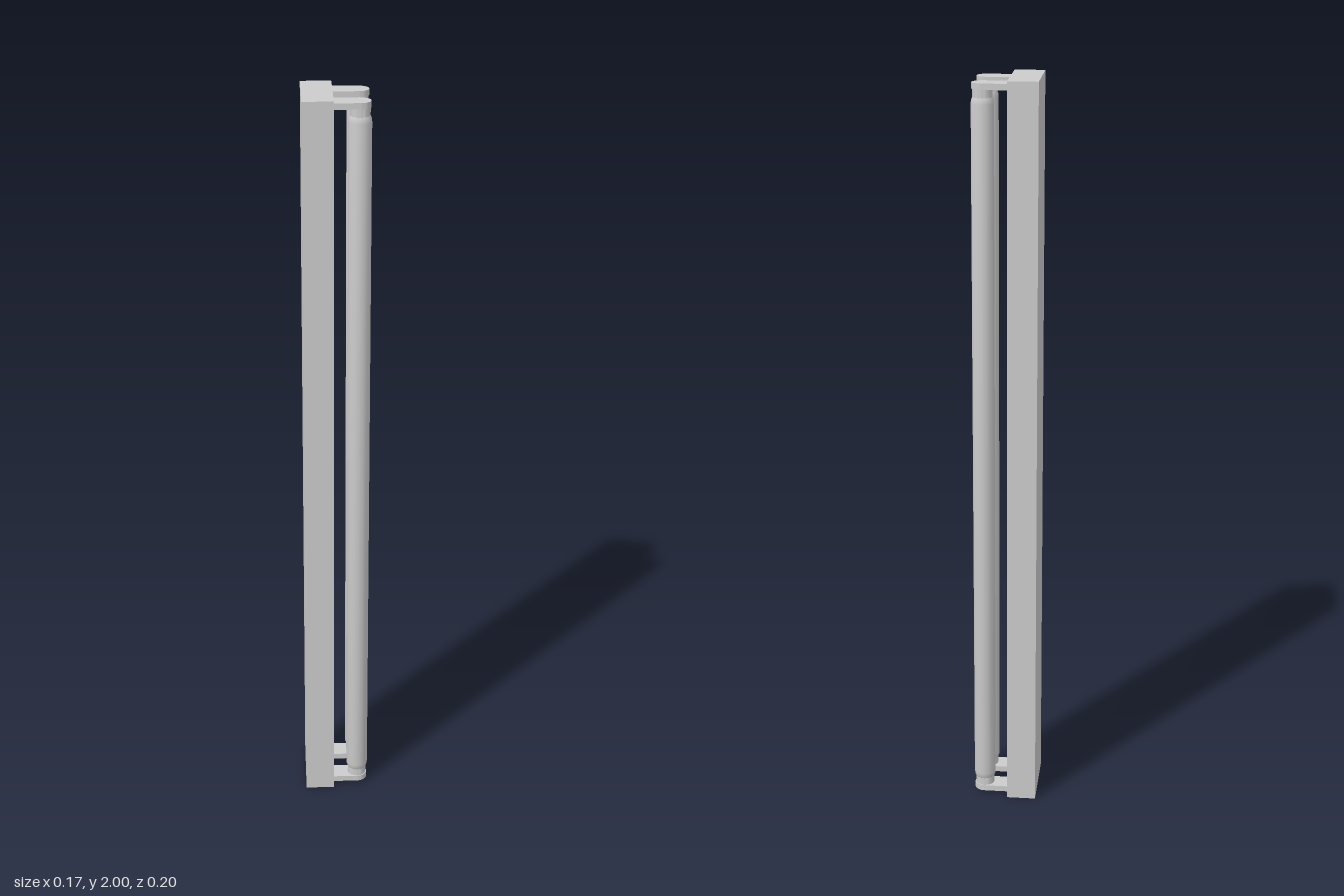
import * as THREE from 'three';
import { toCreasedNormals } from 'three/addons/utils/BufferGeometryUtils.js';

const grey = new THREE.MeshStandardMaterial({ color: 0xcccccc });
const TUBE_X = 0.057, TUBE_Z = 0.056, BODY_RIGHT = -0.009;

function part(name, geometry, parent) {
  const mesh = new THREE.Mesh(geometry, grey);
  mesh.name = name;
  parent.add(mesh);
  return mesh;
}

// Flat arm with a rounded end, reaching from the housing out over the tube
function armGeometry(radius, thickness) {
  const shape = new THREE.Shape();
  shape.moveTo(BODY_RIGHT - 0.005, -radius);
  shape.lineTo(TUBE_X, -radius);
  shape.absarc(TUBE_X, 0, radius, -Math.PI / 2, Math.PI / 2, false);
  shape.lineTo(BODY_RIGHT - 0.005, radius);
  shape.closePath();
  const geo = new THREE.ExtrudeGeometry(shape, { depth: thickness, bevelEnabled: false, curveSegments: 8 });
  geo.rotateX(-Math.PI / 2);
  return toCreasedNormals(geo, 0.6);
}

// Round profile turned about the tube axis
function turned(points) {
  const geo = new THREE.LatheGeometry(points.map(([r, y]) => new THREE.Vector2(r, y)), 16);
  return toCreasedNormals(geo, 0.6);
}

export function createModel() {
  const model = new THREE.Group();
  model.name = 'twinTubeLight';

  // Long rectangular housing
  const housing = part('housing', new THREE.BoxGeometry(0.079, 2, 0.2), model);
  housing.position.set(-0.0485, 1, 0);

  // Two tubes, each held by a socket at both ends
  for (const side of [1, -1]) {
    const lamp = new THREE.Group();
    lamp.name = side > 0 ? 'frontLamp' : 'backLamp';
    lamp.position.z = side * TUBE_Z;
    model.add(lamp);

    const tube = part('tube', turned([
      [0, 0.046], [0.0255, 0.046], [0.0285, 0.053], [0.0295, 0.062],
      [0.0295, 1.938], [0.0285, 1.947], [0.0255, 1.954], [0, 1.954],
    ]), lamp);
    tube.position.x = TUBE_X;

    for (const [end, armY, capY] of [['lower', 0.009, 0.02], ['upper', 1.975, 1.945]]) {
      const arm = part(end + 'SocketArm', armGeometry(0.0275, 0.016), lamp);
      arm.position.y = armY;
      const cap = part(end + 'TubeCap', turned([[0, 0], [0.0255, 0], [0.0255, 0.035], [0, 0.035]]), lamp);
      cap.position.set(TUBE_X, capY, 0);
    }
  }
  return model;
}
